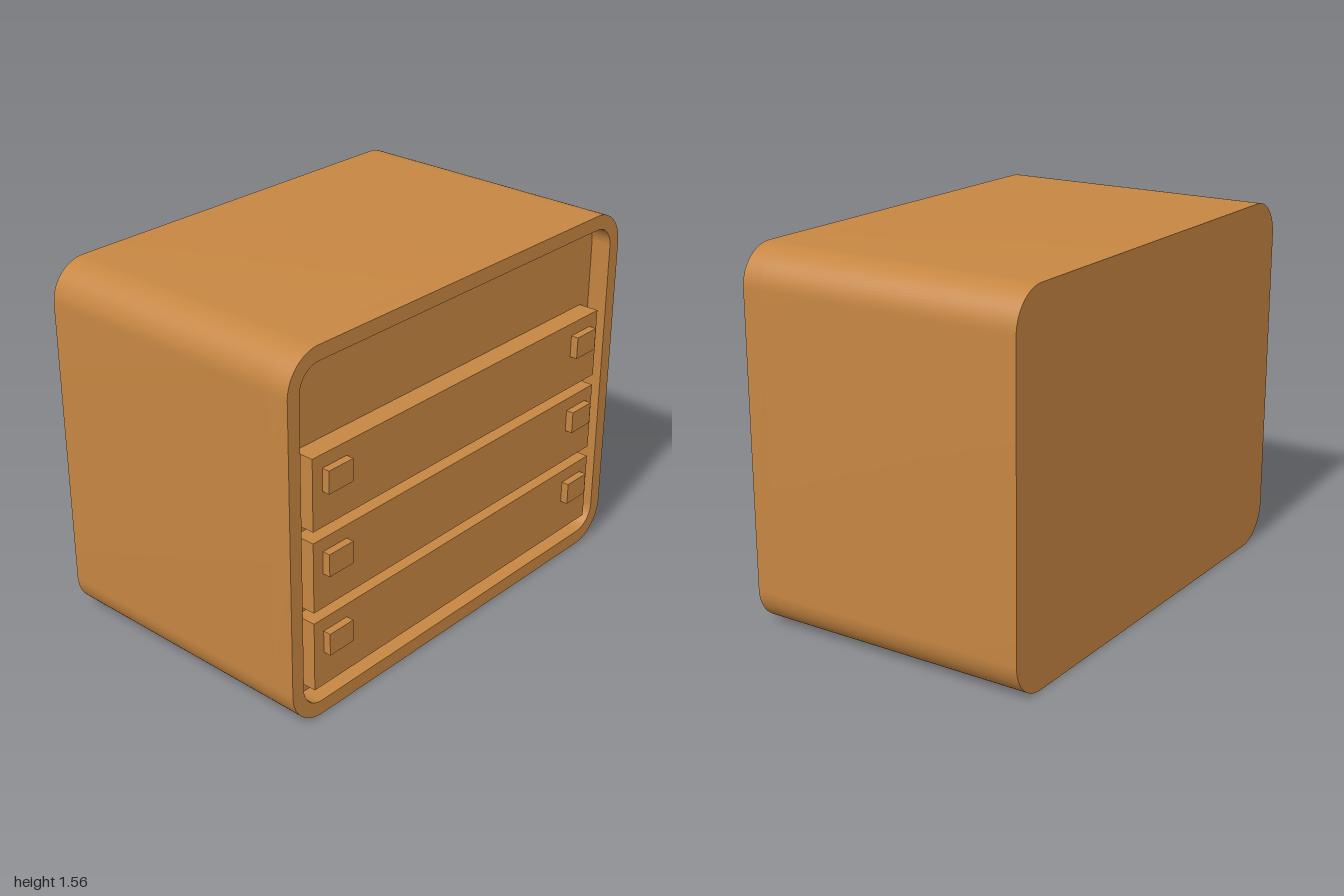
import * as THREE from 'three';
import { toCreasedNormals } from 'three/addons/utils/BufferGeometryUtils.js';

const BACK = -0.64, FRONT = 0.607, TIP = 0.64; // x of cabinet back, rim and handle ends
const RECESS = FRONT - 0.09;                   // x of the sunken face behind the drawers

// Rounded rectangle centred on z = 0
function roundedRect(path, halfWidth, bottom, top, r) {
  path.moveTo(-halfWidth + r, bottom);
  path.lineTo(halfWidth - r, bottom);
  path.absarc(halfWidth - r, bottom + r, r, -Math.PI / 2, 0);
  path.lineTo(halfWidth, top - r);
  path.absarc(halfWidth - r, top - r, r, 0, Math.PI / 2);
  path.lineTo(-halfWidth + r, top);
  path.absarc(-halfWidth + r, top - r, r, Math.PI / 2, Math.PI);
  path.lineTo(-halfWidth, bottom + r);
  path.absarc(-halfWidth + r, bottom + r, r, Math.PI, Math.PI * 1.5);
  return path;
}

// Extrude a profile along x with smooth corners and sharp edges
function extrudeX(shape, x0, x1) {
  const geo = new THREE.ExtrudeGeometry(shape, { depth: x1 - x0, bevelEnabled: false, curveSegments: 10 });
  geo.rotateY(Math.PI / 2).translate(x0, 0, 0);
  return toCreasedNormals(geo, 0.6);
}

export function createModel() {
  const group = new THREE.Group();
  const wood = new THREE.MeshStandardMaterial({ color: 0xc68642 });
  wood.name = 'wood';

  const add = (name, geo, parent = group) => {
    const mesh = new THREE.Mesh(geo, wood);
    mesh.name = name;
    parent.add(mesh);
    return mesh;
  };
  const box = (name, x0, x1, height, width, y, z, parent) =>
    add(name, new THREE.BoxGeometry(x1 - x0, height, width), parent).position.set((x0 + x1) / 2, y, z);

  // Cabinet: solid body with a raised rim around the drawer side
  const outline = () => roundedRect(new THREE.Shape(), 1, 0, 1.564, 0.16);
  add('cabinetBody', extrudeX(outline(), BACK, RECESS));
  const rim = outline();
  rim.holes.push(roundedRect(new THREE.Path(), 0.94, 0.062, 1.502, 0.1));
  add('cabinetRim', extrudeX(rim, RECESS, FRONT));

  // Three drawers, each with a pair of block handles
  [0.28, 0.63, 0.98].forEach((y, i) => {
    const drawer = new THREE.Group();
    drawer.name = `drawer${i + 1}`;
    group.add(drawer);
    box('drawerFront', RECESS, FRONT, 0.302, 1.76, y, 0, drawer);
    for (const side of [-1, 1]) {
      box(side > 0 ? 'frontHandle' : 'rearHandle', FRONT, TIP, 0.096, 0.13, y + 0.046, side * 0.763, drawer);
    }
  });
  return group;
}
